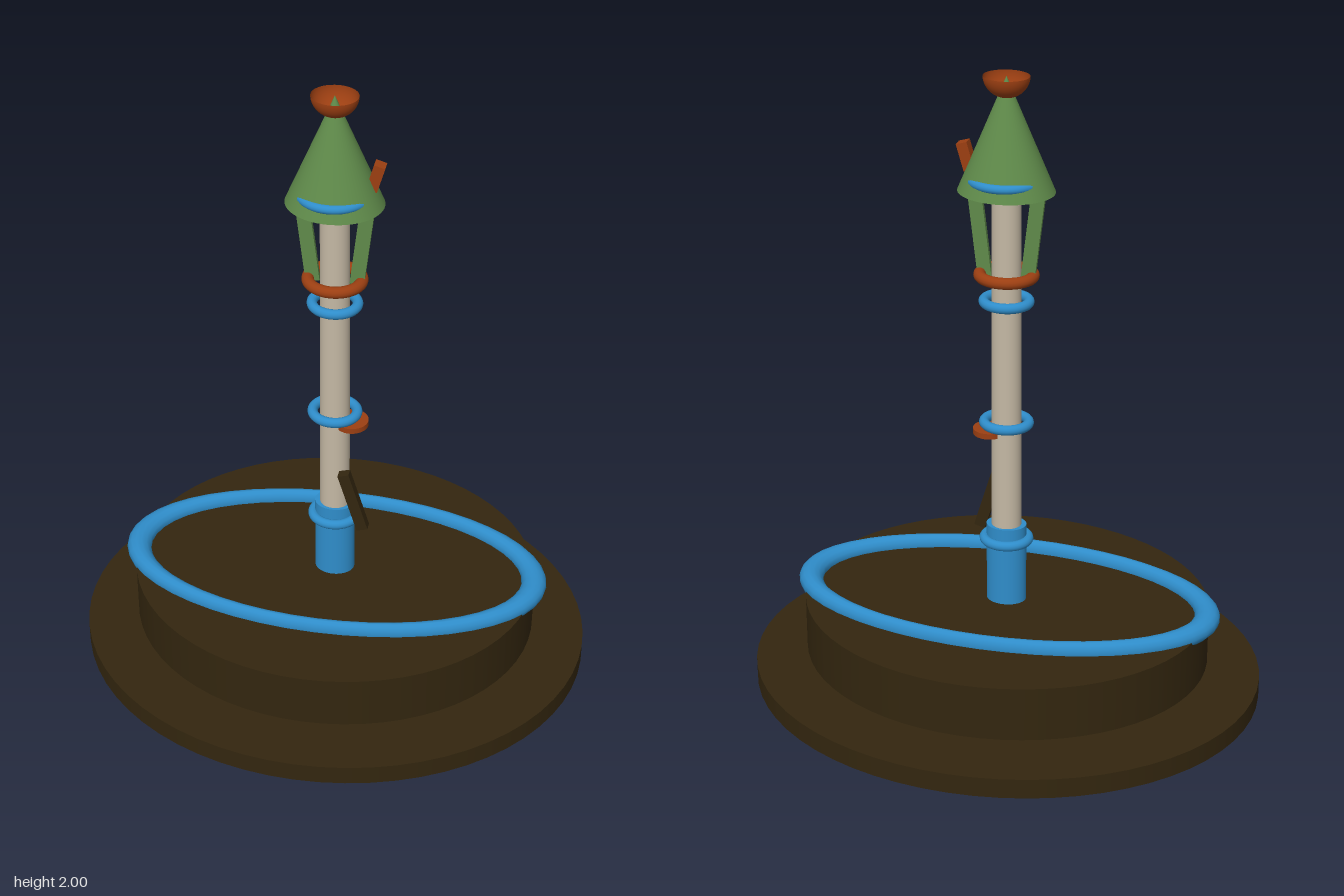
import * as THREE from 'three';

const mat = (name, color, side = THREE.FrontSide) => {
  const m = new THREE.MeshStandardMaterial({ color, side });
  m.name = name;
  return m;
};

export function createModel() {
  const group = new THREE.Group();
  const dark = mat('darkBrown', 0x33260f);
  const blue = mat('blue', 0x2f8dca);
  const cream = mat('cream', 0xc4b8a4);
  const green = mat('green', 0x5f8a4a);
  const rust = mat('rust', 0x9c3f12, THREE.DoubleSide);

  const add = (name, geometry, material, x = 0, y = 0, z = 0, tilt = 0) => {
    const mesh = new THREE.Mesh(geometry, material);
    mesh.name = name;
    mesh.position.set(x, y, z);
    mesh.rotation.z = tilt;
    group.add(mesh);
    return mesh;
  };

  // Oval upright cylinder between two heights
  const drum = (name, material, rx, rz, y0, y1, x = 0, topScale = 1) => {
    const g = new THREE.CylinderGeometry(topScale, 1, y1 - y0, 64);
    g.scale(rx, 1, rz);
    return add(name, g, material, x, (y0 + y1) / 2, 0);
  };

  // Oval lying ring: outer half-widths, tube half-width along x, tube half-height
  const ring = (name, material, rx, rz, tube, halfHeight, y) => {
    const g = new THREE.TorusGeometry(rx - tube, tube, 14, 48);
    g.rotateX(Math.PI / 2);
    g.scale(1, halfHeight / tube, rz / rx);
    return add(name, g, material, 0, y, 0);
  };

  // Two-step base and its hoop
  drum('baseDisc', dark, 0.812, 0.697, 0, 0.065);
  drum('baseDrum', dark, 0.645, 0.555, 0.11, 0.287);
  drum('baseStub', dark, 0.063, 0.052, 0.1, 0.2);
  ring('baseHoop', blue, 0.685, 0.34, 0.04, 0.033, 0.293);

  // Column with its sleeve and collars
  drum('sleeve', blue, 0.063, 0.052, 0.28, 0.55);
  drum('column', cream, 0.047, 0.043, 0.5, 1.66, 0, 0.94);
  for (const y of [0.5, 0.9, 1.3]) ring('collar', blue, 0.085, 0.078, 0.016, 0.016, y);
  ring('lanternCollar', rust, 0.1, 0.092, 0.019, 0.018, 1.385);

  // Side fittings on the column
  add('lever', new THREE.BoxGeometry(0.036, 0.215, 0.03), dark, 0.07, 0.605, 0.061, 0.29);
  drum('sideDisc', rust, 0.052, 0.052, 0.857, 0.875, 0.053);

  // Lantern struts, leaning outward to the roof
  for (const side of [-1, 1]) {
    add('lanternStrut', new THREE.BoxGeometry(0.043, 0.29, 0.015), green,
      side * 0.083, 1.52, 0, -side * 0.115);
  }

  // Conical roof with trim, chimney and open bowl finial
  const roof = new THREE.ConeGeometry(1, 0.35, 64);
  roof.scale(0.147, 1, 0.126);
  add('roof', roof, green, 0, 1.825, 0);
  ring('roofTrim', blue, 0.122, 0.122, 0.014, 0.014, 1.69);
  add('chimney', new THREE.BoxGeometry(0.034, 0.085, 0.036), rust, 0.121, 1.75, 0, -0.28);

  const bowl = new THREE.SphereGeometry(1, 40, 16, 0, Math.PI * 2, Math.PI / 2, Math.PI / 2);
  bowl.scale(0.07, 0.065, 0.061);
  add('bowlFinial', bowl, rust, 0, 2, 0);

  return group;
}
